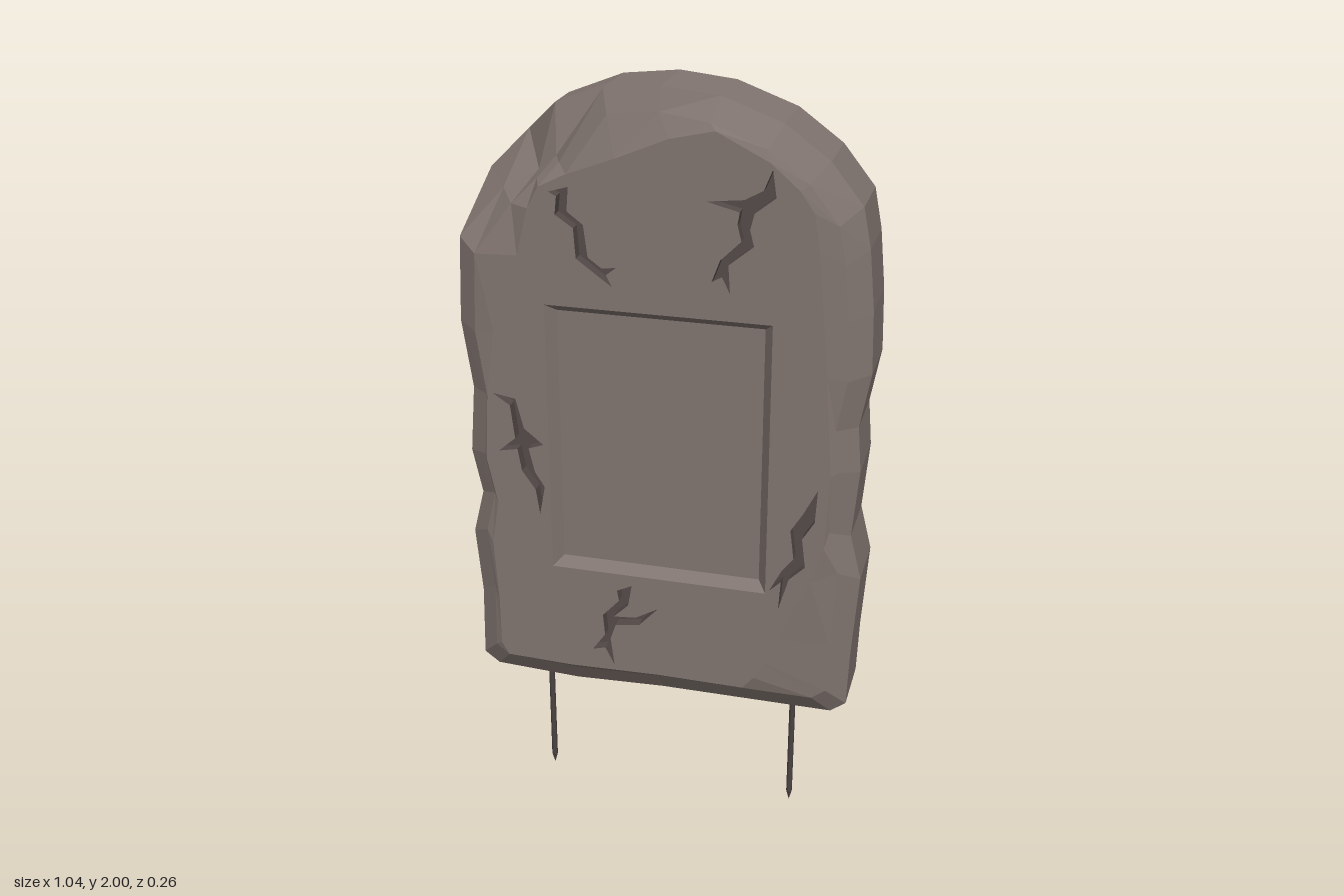
import * as THREE from 'three';

const stone = new THREE.MeshStandardMaterial({ color: 0x80746f });
stone.name = 'weathered stone';
stone.flatShading = true;
const crackStone = new THREE.MeshStandardMaterial({ color: 0x544b49, side: THREE.DoubleSide });
crackStone.name = 'dark crack';
crackStone.flatShading = true;
const metal = new THREE.MeshStandardMaterial({ color: 0x4a4342 });
metal.name = 'dark metal';

const FACE_Z = 0.13;

// Slab silhouette, counter-clockwise from the bottom corner at -x
const outline = [
  [-.47, .37], [-.24, .36], [0, .37], [.25, .37], [.46, .37], [.5, .4], [.505, .55], [.52, .78],
  [.49, .9], [.505, 1.08], [.495, 1.2], [.52, 1.34], [.515, 1.5], [.5, 1.65], [.48, 1.75], [.4, 1.85],
  [.29, 1.93], [.14, 1.985], [0, 2], [-.14, 1.985], [-.28, 1.93], [-.38, 1.84], [-.48, 1.74], [-.515, 1.6],
  [-.525, 1.38], [-.5, 1.2], [-.515, 1.02], [-.49, .9], [-.52, .78], [-.505, .6], [-.51, .4],
];

// Edge of the flat front, matching the silhouette point by point
const faceEdge = [
  [-.42, .435], [-.24, .43], [0, .437], [.23, .435], [.26, .47], [.29, .52], [.32, .6], [.4, .78],
  [.43, .88], [.44, 1.08], [.43, 1.2], [.42, 1.34], [.405, 1.5], [.39, 1.65], [.375, 1.74], [.34, 1.79],
  [.27, 1.85], [.14, 1.915], [.03, 1.89], [-.1, 1.835], [-.22, 1.79], [-.29, 1.755], [-.32, 1.7], [-.35, 1.58],
  [-.42, 1.38], [-.445, 1.2], [-.455, 1.02], [-.43, .9], [-.45, .78], [-.44, .6], [-.44, .47],
];

// Cracks as flat lists of x, y
const cracks = [
  [-.265, 1.745, -.215, 1.76, -.22, 1.7, -.18, 1.67, -.17, 1.59, -.135, 1.565, -.1, 1.57, -.125, 1.55,
    -.11, 1.52, -.145, 1.545, -.2, 1.585, -.205, 1.66, -.25, 1.69, -.245, 1.735],
  [.275, 1.835, .285, 1.77, .235, 1.73, .225, 1.69, .235, 1.65, .175, 1.6, .18, 1.53, .16, 1.57,
    .135, 1.555, .155, 1.61, .205, 1.66, .195, 1.7, .2, 1.73, .12, 1.75, .21, 1.76, .255, 1.785],
  [-.43, 1.21, -.37, 1.2, -.35, 1.12, -.3, 1.08, -.34, 1.065, -.325, 1, -.3, .96, -.315, .88,
    -.325, .95, -.36, 1, -.37, 1.06, -.42, 1.05, -.375, 1.09, -.385, 1.18],
  [.41, 1.04, .405, .95, .375, .9, .385, .82, .345, .78, .32, .69, .325, .77, .295, .74,
    .325, .8, .355, .84, .345, .92, .375, .97],
  [-.07, .7, -.08, .64, -.12, .6, -.06, .605, 0, .64, -.05, .585, -.115, .575, -.13, .53,
    -.12, .45, -.145, .5, -.18, .49, -.145, .54, -.15, .6, -.105, .65, -.11, .68],
].map((list) => {
  const points = [];
  for (let i = 0; i < list.length; i += 2) points.push([list[i], list[i + 1]]);
  return points;
});

const ring = (points, z) => points.map(([x, y]) => [x, y, z]);
const toVectors = (points) => points.map(([x, y]) => new THREE.Vector2(x, y));
const rect = (x0, y0, x1, y1) => [[x0, y0], [x1, y0], [x1, y1], [x0, y1]];

// Join closed rings of equal length with flat facets, optionally closing the first
function loft(rings, capCentre) {
  const pos = [];
  const tri = (...corners) => corners.forEach((c) => pos.push(...c));
  const n = rings[0].length;
  for (let i = 0; i < n; i++) {
    const j = (i + 1) % n;
    for (let r = 0; r + 1 < rings.length; r++) {
      const a = rings[r], b = rings[r + 1];
      tri(a[i], a[j], b[j]);
      tri(a[i], b[j], b[i]);
    }
    if (capCentre) tri(capCentre, rings[0][j], rings[0][i]);
  }
  const geometry = new THREE.BufferGeometry();
  geometry.setAttribute('position', new THREE.Float32BufferAttribute(pos, 3));
  geometry.computeVertexNormals();
  return geometry;
}

function flat(points, z, holes = []) {
  const shape = new THREE.Shape(toVectors(points));
  holes.forEach((h) => shape.holes.push(new THREE.Path(toVectors(h))));
  return new THREE.ShapeGeometry(shape).translate(0, 0, z);
}

export function createModel() {
  const model = new THREE.Group();
  const add = (name, geometry, material, parent = model) => {
    const mesh = new THREE.Mesh(geometry, material);
    mesh.name = name;
    parent.add(mesh);
    return mesh;
  };

  // Bevelled slab body with a broken upper corner
  const inset = outline.map(([x, y]) => [x * 0.9, 1.2 + (y - 1.2) * 0.93]);
  const back = ring(inset, -0.135);
  const backRim = ring(outline, -0.093);
  const middle = ring(outline, 0);
  const frontRim = ring(outline, 0.08);
  const shoulder = ring(inset, 0.12);
  shoulder[18][2] = shoulder[19][2] = 0.1;
  middle[20][2] = 0.01;
  middle[21][2] = -0.08;
  middle[22][2] = -0.07;
  frontRim[20] = [-.27, 1.81, .045];
  frontRim[21] = [-.32, 1.77, .03];
  frontRim[22] = [-.41, 1.72, .04];
  shoulder[20] = [-.25, 1.805, .085];
  shoulder[21] = [-.305, 1.765, .09];
  shoulder[22] = [-.37, 1.7, .1];
  const front = ring(faceEdge, FACE_Z);
  add('slab', loft([back, backRim, middle, frontRim, shoulder, front], [0, 1.2, -0.135]), stone);

  // Front face, opened for the panel and the cracks
  const panelOuter = rect(-.285, .73, .285, 1.46);
  const panelInner = rect(-.262, .752, .262, 1.438);
  add('frontFace', flat(faceEdge, FACE_Z, [panelOuter, ...cracks]), stone);

  // Recessed panel with a sloped border
  add('panelBorder', loft([ring(panelOuter, FACE_Z), ring(panelInner, 0.1)]), stone);
  add('panel', flat(panelInner, 0.1), stone);

  // Engraved cracks
  const crackGroup = new THREE.Group();
  crackGroup.name = 'cracks';
  model.add(crackGroup);
  cracks.forEach((points) => {
    add('crackWall', loft([ring(points, FACE_Z), ring(points, 0.1)]), crackStone, crackGroup);
    add('crackFloor', flat(points, 0.1), crackStone, crackGroup);
  });

  // Pointed ground stakes
  for (const side of [-1, 1]) {
    const stake = new THREE.Group();
    stake.name = side > 0 ? 'leftStake' : 'rightStake';
    stake.position.x = side * 0.345;
    model.add(stake);
    add('rod', new THREE.CylinderGeometry(.008, .008, .37, 10).translate(0, .215, 0), metal, stake);
    add('tip', new THREE.CylinderGeometry(.008, 0, .03, 10).translate(0, .015, 0), metal, stake);
  }
  return model;
}
